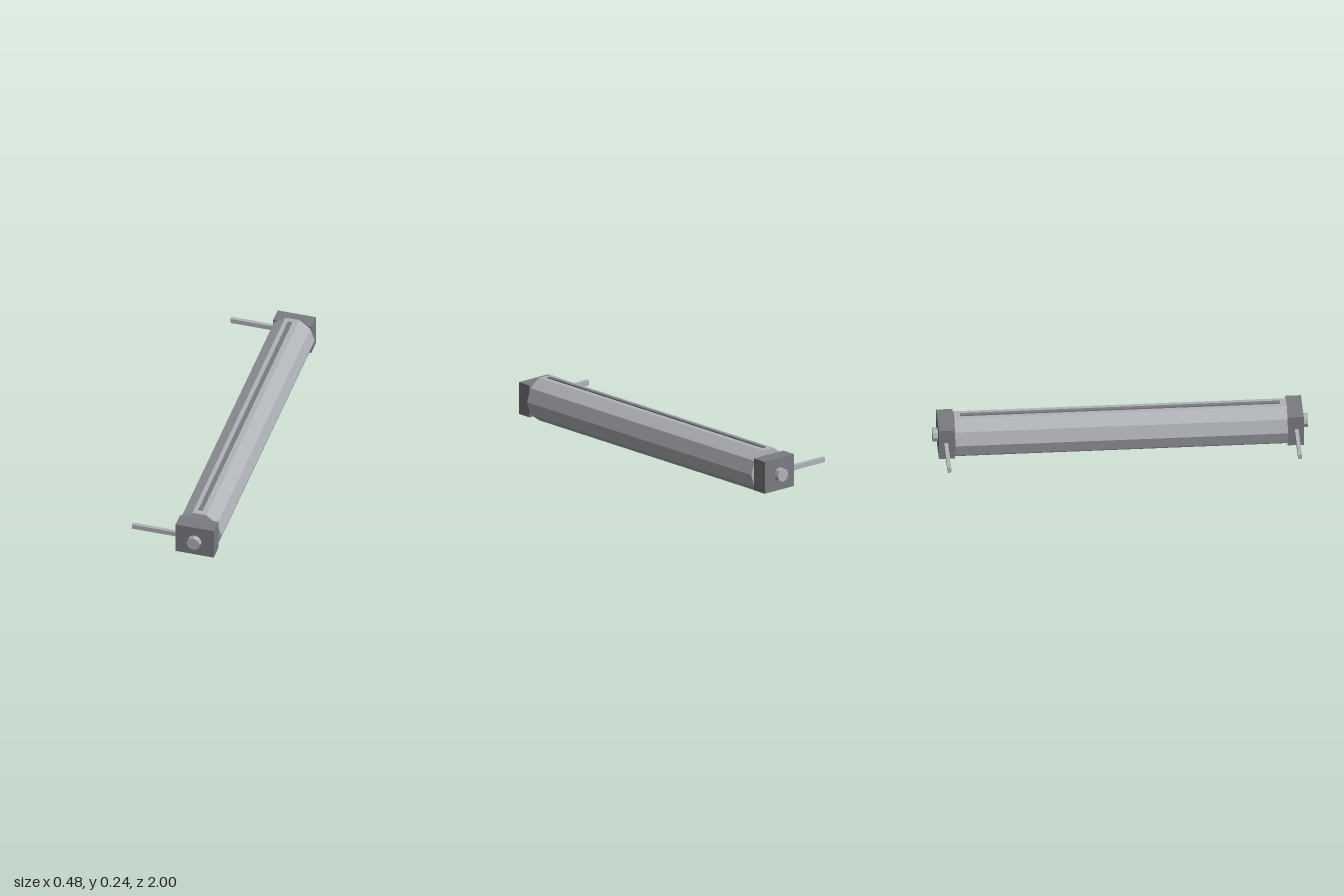
import * as THREE from 'three';

export function createModel() {
  const model = new THREE.Group();
  const lightMetal = new THREE.MeshStandardMaterial({ color: 0xb0b3b8, flatShading: true });
  lightMetal.name = 'lightGrey';
  const darkMetal = new THREE.MeshStandardMaterial({ color: 0x7b7c80, flatShading: true });
  darkMetal.name = 'darkGrey';

  const AX = 0.115, AY = 0.119; // long axis of the tube, parallel to z

  const add = (name, geometry, material, x, y, z) => {
    const mesh = new THREE.Mesh(geometry, material);
    mesh.name = name;
    mesh.position.set(x, y, z);
    model.add(mesh);
  };
  // Prism lying along z with one corner pointing to +x
  const prism = (radius, length, sides) =>
    new THREE.CylinderGeometry(radius, radius, length, sides, 1, false, Math.PI / 2).rotateX(Math.PI / 2);

  // Ten-sided tube and the raised strip along its top
  add('tube', prism(0.124, 1.772, 10), lightMetal, AX, AY, 0);
  add('topStrip', new THREE.BoxGeometry(0.022, 0.009, 1.704), darkMetal, AX - 0.002, 0.2385, 0);

  // End block, bolt and mounting rod at both ends
  for (const s of [1, -1]) {
    const end = s > 0 ? 'front' : 'back';
    add(end + 'Block', new THREE.BoxGeometry(0.211, 0.177, 0.086), darkMetal, AX, AY, s * 0.929);
    add(end + 'Bolt', prism(0.038, 0.04, 8), lightMetal, AX, AY, s * 0.98);
    add(end + 'Rod', new THREE.BoxGeometry(0.26, 0.027, 0.02), lightMetal, -0.109, AY, s * 0.934);
  }
  return model;
}
